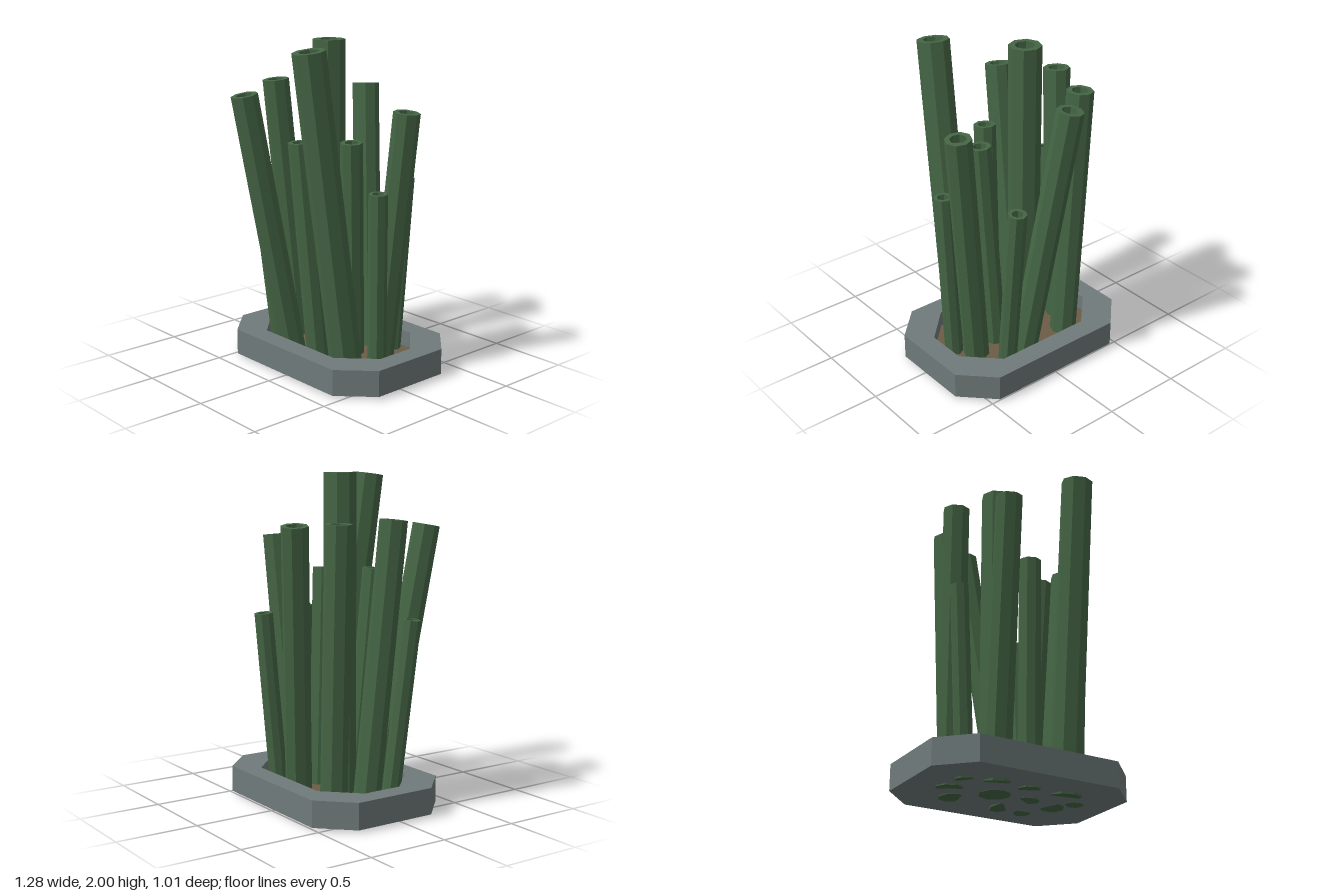
import * as THREE from 'three';

const material = (color) => new THREE.MeshStandardMaterial({ color, flatShading: true });

// Rectangle with cut corners; traced in the ground plane (shape y = -z)
function octagon(halfX, cutX, zBack, zFront, cutZ) {
  const points = [
    [halfX - cutX, -zFront], [halfX, -zFront + cutZ],
    [halfX, -zBack - cutZ], [halfX - cutX, -zBack],
    [-halfX + cutX, -zBack], [-halfX, -zBack - cutZ],
    [-halfX, -zFront + cutZ], [-halfX + cutX, -zFront],
  ];
  return points.map(([x, y]) => new THREE.Vector2(x, y));
}

// Upright slab between two heights
function slab(name, shape, y0, y1, mat) {
  const geometry = new THREE.ExtrudeGeometry(shape, { depth: y1 - y0, bevelEnabled: false });
  geometry.rotateX(-Math.PI / 2);
  geometry.translate(0, y0, 0);
  const mesh = new THREE.Mesh(geometry, mat);
  mesh.name = name;
  return mesh;
}

// Eight-sided cane from foot to tip, with a shallow hollow in its cut end
function cane(foot, tip, r, mat) {
  const axis = tip.clone().sub(foot);
  const length = axis.length();
  const inner = r * 0.62, hollow = length - 0.05;
  const profile = [[0, 0], [r, 0], [r, length], [inner, length], [inner, hollow], [0, hollow]];
  const geometry = new THREE.LatheGeometry(profile.map(([x, y]) => new THREE.Vector2(x, y)), 8);
  const mesh = new THREE.Mesh(geometry, mat);
  mesh.position.copy(foot);
  mesh.quaternion.setFromUnitVectors(new THREE.Vector3(0, 1, 0), axis.normalize());
  return mesh;
}

export function createModel() {
  const model = new THREE.Group();
  model.name = 'bambooPlanter';
  const stone = material(0x6f7a7a);
  const soil = material(0x6b5c44);
  const green = material(0x456645);

  // Planter: rim, bottom and soil
  const inner = octagon(0.51, 0.195, -0.38, 0.26, 0.195);
  const rim = new THREE.Shape(octagon(0.64, 0.19, -0.51, 0.39, 0.19));
  rim.holes.push(new THREE.Path(inner));
  model.add(slab('planterRim', rim, 0.02, 0.18, stone));
  model.add(slab('planterBottom', new THREE.Shape(inner), 0.02, 0.05, stone));
  model.add(slab('soil', new THREE.Shape(inner), 0.05, 0.08, soil));

  // Canes: foot x, foot z, tip x, tip y, tip z, radius
  const canes = [
    [-0.095, -0.07, -0.095, 2.0, -0.07, 0.098],
    [0.07, -0.26, -0.14, 1.70, -0.415, 0.082],
    [-0.28, -0.245, -0.355, 1.715, -0.26, 0.082],
    [-0.38, -0.085, -0.45, 1.735, 0.055, 0.082],
    [-0.38, 0.09, -0.48, 1.155, 0.17, 0.056],
    [-0.2, 0.135, -0.292, 1.69, 0.422, 0.082],
    [0.02, 0.12, -0.029, 1.42, 0.225, 0.068],
    [0.13, -0.07, 0.184, 1.42, 0.003, 0.068],
    [0.27, 0.11, 0.231, 1.985, 0.37, 0.098],
    [0.315, -0.115, 0.467, 1.615, -0.168, 0.08],
    [0.227, -0.3, 0.232, 1.16, -0.402, 0.057],
    [0.407, -0.005, 0.439, 1.16, 0.028, 0.057],
  ];
  const stand = new THREE.Group();
  stand.name = 'canes';
  canes.forEach(([fx, fz, tx, ty, tz, r], i) => {
    const mesh = cane(new THREE.Vector3(fx, 0.018, fz), new THREE.Vector3(tx, ty, tz), r, green);
    mesh.name = `cane${i + 1}`;
    stand.add(mesh);
  });
  model.add(stand);
  return model;
}
